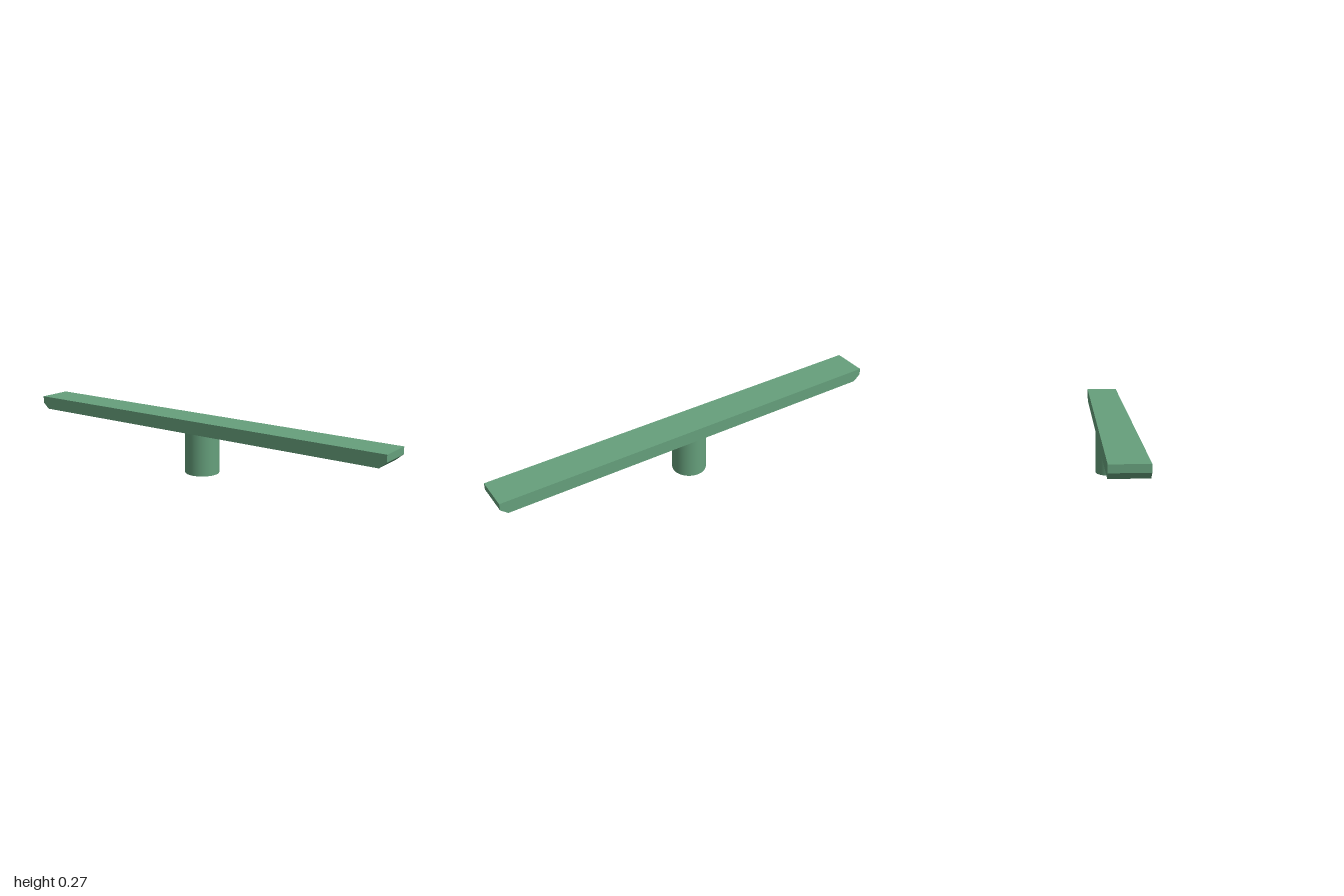
import * as THREE from 'three';

export function createModel() {
  const model = new THREE.Group();
  const material = new THREE.MeshStandardMaterial({ color: 0x66a07c });
  const radius = 0.083, beamBottom = 0.203, beamTop = 0.267;

  // Long crossbar with its lower end corners cut off
  const outline = new THREE.Shape([
    [-0.966, beamBottom], [0.966, beamBottom], [1, 0.233],
    [1, beamTop], [-1, beamTop], [-1, 0.233],
  ].map(([x, y]) => new THREE.Vector2(x, y)));
  const barGeometry = new THREE.ExtrudeGeometry(outline, { depth: radius * 2, bevelEnabled: false });
  barGeometry.translate(0, 0, -radius);
  const crossbar = new THREE.Mesh(barGeometry, material);
  crossbar.name = 'crossbar';
  model.add(crossbar);

  // Round stem under the middle
  const stem = new THREE.Mesh(new THREE.CylinderGeometry(radius, radius, beamBottom, 48), material);
  stem.name = 'stem';
  stem.position.y = beamBottom / 2;
  model.add(stem);

  return model;
}
